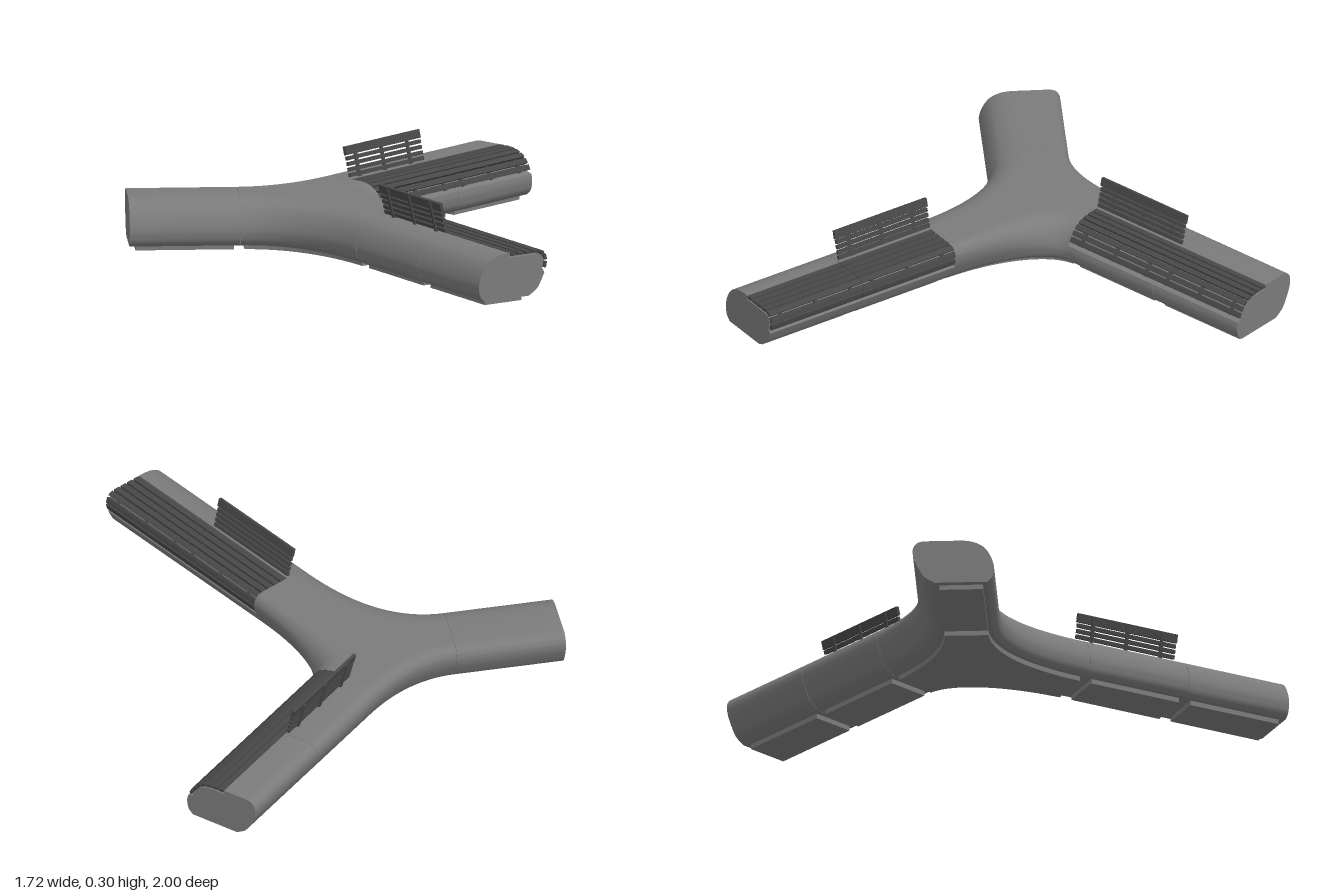
import * as THREE from 'three';
import { toCreasedNormals } from 'three/addons/utils/BufferGeometryUtils.js';

const V2 = (x, y) => new THREE.Vector2(x, y);
const stone = new THREE.MeshStandardMaterial({ color: 0x7b7b7b, side: THREE.DoubleSide });
const slatDark = new THREE.MeshStandardMaterial({ color: 0x484848, side: THREE.DoubleSide });
const HALF = 0.148, TOP = 0.185, FLOOR = 0.018, SECTION = 0.405;

// Half cross-sections from the flat top round to the underside: [inset from edge, height]
const smooth = (pts) => new THREE.SplineCurve(pts.map((p) => V2(...p))).getPoints(24);
const LOW = smooth([[.115, .185], [.085, .181], [.06, .172], [.035, .155], [.013, .122],
  [.001, .085], [.001, .06], [.008, .035], [.025, FLOOR]]);
const HIGH = smooth([[.04, .185], [.022, .181], [.01, .172], [.002, .157], [0, .14],
  [.006, .11], [.025, .07], [.045, .04], [.08, FLOOR]]);

function add(parent, name, geometry, material = stone) {
  const mesh = new THREE.Mesh(geometry, material);
  mesh.name = name;
  parent.add(mesh);
  return mesh;
}

function box(parent, name, [w, h, d], [x, y, z], material) {
  add(parent, name, new THREE.BoxGeometry(w, h, d), material).position.set(x, y, z);
}

// Extrude an outline along z
function prism(points, z0, length) {
  const g = new THREE.ExtrudeGeometry(new THREE.Shape(points), { depth: length, bevelEnabled: false });
  g.translate(0, 0, z0);
  return toCreasedNormals(g, 0.6);
}

// Move a section path inwards by d; k is the side it runs towards
function offset(pts, d, k) {
  return pts.map((p, i) => {
    const t = pts[Math.min(i + 1, pts.length - 1)].clone().sub(pts[Math.max(i - 1, 0)]).normalize();
    return V2(p.x + t.y * k * d, p.y - t.x * k * d);
  });
}

const strip = (pts, d1, d2, k) => [...offset(pts, d1, k), ...offset(pts, d2, k).reverse()];

// One side of an arm section; sx is the side in local x
const sidePoints = (half, sx) => half.map((p) => V2(sx * (HALF - p.x), p.y));

// Slatted seat path: from the middle of the top over the side
function seatPath(half, k) {
  return [V2(-k * 0.012, TOP), ...sidePoints(half, k).filter((p) => p.y > 0.1)];
}

function armOutline(plus, minus, k) {
  const side = (half, sx) => {
    const pts = sidePoints(half, sx);
    if (sx !== k) return pts;
    const path = seatPath(half, k);
    return [path[0], ...offset(path, 0.016, k), ...pts.filter((p) => p.y <= 0.1)];
  };
  return [...side(plus, 1), ...side(minus, -1).reverse()];
}

function addSeat(arm, half, k, z0, length) {
  const outline = seatPath(half, k);
  const path = new THREE.Path().setFromPoints(outline);
  const count = 7;
  for (let i = 0; i < count; i++) {
    const pts = [];
    for (let j = 0; j <= 4; j++) pts.push(path.getPoint(Math.min((i + 0.12 + 0.76 * j / 4) / count, 0.999)));
    add(arm, 'seatSlat', prism(strip(pts, 0, 0.011, k), z0, length), slatDark);
  }
  // Cross ribs carrying the slats
  for (const f of [0.12, 0.5, 0.88]) {
    add(arm, 'seatRib', prism(strip(outline, 0.007, 0.018, k), z0 + f * length - 0.006, 0.012), slatDark);
  }
}

function addBackrest(arm, k) {
  const back = new THREE.Group();
  back.name = 'backrest';
  back.position.set(-k * 0.018, TOP, 0);
  back.rotation.z = k * 0.245;
  const mid = SECTION / 2;
  box(back, 'backrestTopSlat', [0.012, 0.032, 0.406], [0, 0.103, mid], slatDark);
  for (let i = 0; i < 4; i++) box(back, 'backrestSlat', [0.012, 0.014, 0.4], [0, 0.013 + i * 0.0205, mid], slatDark);
  for (const z of [-0.14, 0, 0.14]) {
    box(back, 'backrestPost', [0.008, 0.125, 0.012], [-k * 0.008, 0.05, mid + z], slatDark);
  }
  arm.add(back);
}

// plus/minus: half section on each local x side; k: slatted side, 0 for none
function makeArm(name, def) {
  const { at, dir, plus, minus, k, sections } = def;
  const arm = new THREE.Group();
  arm.name = name;
  arm.position.set(at[0], 0, at[1]);
  arm.rotation.y = Math.atan2(dir[0], dir[1]);
  const xMax = HALF - plus[24].x - 0.016, xMin = -HALF + minus[24].x + 0.016;
  for (let i = 0; i < sections; i++) {
    const z0 = i * SECTION + 0.001, length = SECTION - 0.0015;
    add(arm, 'armBody', prism(armOutline(plus, minus, k), z0, length));
    box(arm, 'armPlinth', [xMax - xMin, FLOOR + 0.002, length - 0.046],
      [(xMax + xMin) / 2, (FLOOR + 0.002) / 2, z0 + length / 2]);
    if (k) addSeat(arm, k > 0 ? plus : minus, k, z0, length);
  }
  if (k) addBackrest(arm, k);
  return arm;
}

// Point on a hub edge, moved inwards by e
function edgePoint(curve, t, e) {
  const p = curve.getPoint(t), d = curve.getTangent(t);
  return V2(p.x - d.y * e, p.y + d.x * e);
}

// Hub side: sweep a half section along a plan curve, blending between two sections
function sweepEdge({ curve, from, to }) {
  const N = 32, M = from.length, pos = [], index = [];
  for (let i = 0; i <= N; i++) {
    for (let j = 0; j < M; j++) {
      const s = from[j].clone().lerp(to[j], THREE.MathUtils.smoothstep(i / N, 0, 1));
      const p = edgePoint(curve, i / N, s.x);
      pos.push(p.x, s.y, p.y);
      if (i < N && j < M - 1) {
        const a = i * M + j, b = a + M;
        index.push(a, b, a + 1, b, b + 1, a + 1);
      }
    }
  }
  const g = new THREE.BufferGeometry();
  g.setAttribute('position', new THREE.Float32BufferAttribute(pos, 3));
  g.setIndex(index);
  g.computeVertexNormals();
  return g;
}

// Plan outline of the hub at section row j, optionally inset
function hubOutline(edges, j, inset = 0, trim = 0) {
  return edges.flatMap(({ curve, from, to }) => Array.from({ length: 33 }, (_, i) => {
    const t = trim + (1 - 2 * trim) * i / 32;
    const e = THREE.MathUtils.lerp(from[j].x, to[j].x, THREE.MathUtils.smoothstep(t, 0, 1));
    return edgePoint(curve, t, e + inset);
  }));
}

function makeHub(arms) {
  const hub = new THREE.Group();
  hub.name = 'hub';
  // Corner of an arm seam: side +1 is the arm's local +x
  const corner = ({ at, dir }, s) => V2(at[0] + s * dir[1] * HALF, at[1] - s * dir[0] * HALF);
  const edges = arms.map((a, i) => {
    const b = arms[(i + 1) % 3];
    const p = corner(a, -1), q = corner(b, 1);
    // Control point where the two arm edges would meet
    const det = a.dir[0] * b.dir[1] - a.dir[1] * b.dir[0];
    const t = ((p.x - q.x) * b.dir[1] - (p.y - q.y) * b.dir[0]) / det;
    const c = V2(p.x - a.dir[0] * t, p.y - a.dir[1] * t);
    return { curve: new THREE.QuadraticBezierCurve(p, c, q), from: a.minus, to: b.plus };
  });
  edges.forEach((e) => add(hub, 'hubSide', sweepEdge(e)));
  const top = new THREE.ShapeGeometry(new THREE.Shape(hubOutline(edges, 0).map((p) => V2(p.x, -p.y))));
  add(hub, 'hubTop', top.rotateX(-Math.PI / 2)).position.y = TOP;
  const under = new THREE.ShapeGeometry(new THREE.Shape(hubOutline(edges, 24)));
  add(hub, 'hubUnderside', under.rotateX(Math.PI / 2)).position.y = FLOOR;
  const plinth = prism(hubOutline(edges, 24, 0.016, 0.03), 0, FLOOR);
  add(hub, 'hubPlinth', plinth.rotateX(Math.PI / 2)).position.y = FLOOR;
  return hub;
}

export function createModel() {
  const group = new THREE.Group();
  group.name = 'threeArmBench';
  const r = Math.SQRT1_2;
  const arms = [
    { at: [-0.43, 0.084], dir: [-0.966, 0.259], plus: LOW, minus: HIGH, k: 0, sections: 1 },
    { at: [-0.069, -0.229], dir: [0.5, -0.866], plus: HIGH, minus: LOW, k: -1, sections: 2 },
    { at: [0.18, 0.32], dir: [r, r], plus: HIGH, minus: LOW, k: 1, sections: 2 },
  ];
  group.add(makeHub(arms));
  ['plainArm', 'backArm', 'frontArm'].forEach((name, i) => group.add(makeArm(name, arms[i])));
  return group;
}
